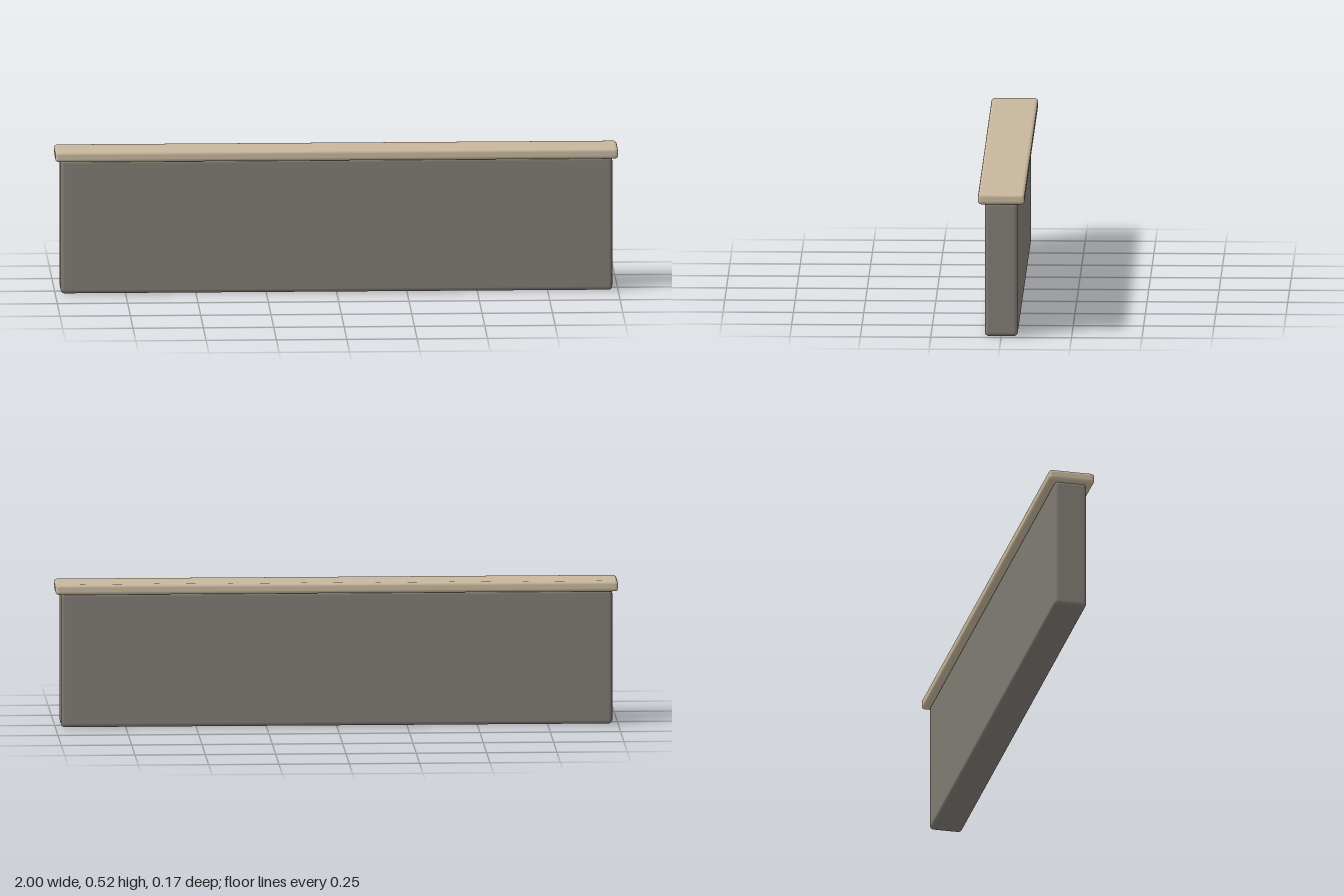
import * as THREE from 'three';
import { RoundedBoxGeometry } from 'three/addons/geometries/RoundedBoxGeometry.js';

const stone = new THREE.MeshStandardMaterial({ name: 'grey stone', color: 0x7f7a73 });
const coping = new THREE.MeshStandardMaterial({ name: 'pale sandstone', color: 0xc6b69c });

// Rounded block spanning bottom..top, centred on x and z
function block(name, width, bottom, top, depth, radius, material) {
  const geometry = new RoundedBoxGeometry(width, top - bottom, depth, 4, radius);
  const mesh = new THREE.Mesh(geometry, material);
  mesh.name = name;
  mesh.position.y = (bottom + top) / 2;
  return mesh;
}

export function createModel() {
  const model = new THREE.Group();
  model.name = 'lowWall';
  // Wall body with an overhanging cap along its top
  model.add(
    block('wallBody', 1.96, 0, 0.482, 0.117, 0.014, stone),
    block('wallCap', 2, 0.478, 0.516, 0.166, 0.012, coping),
  );
  return model;
}
